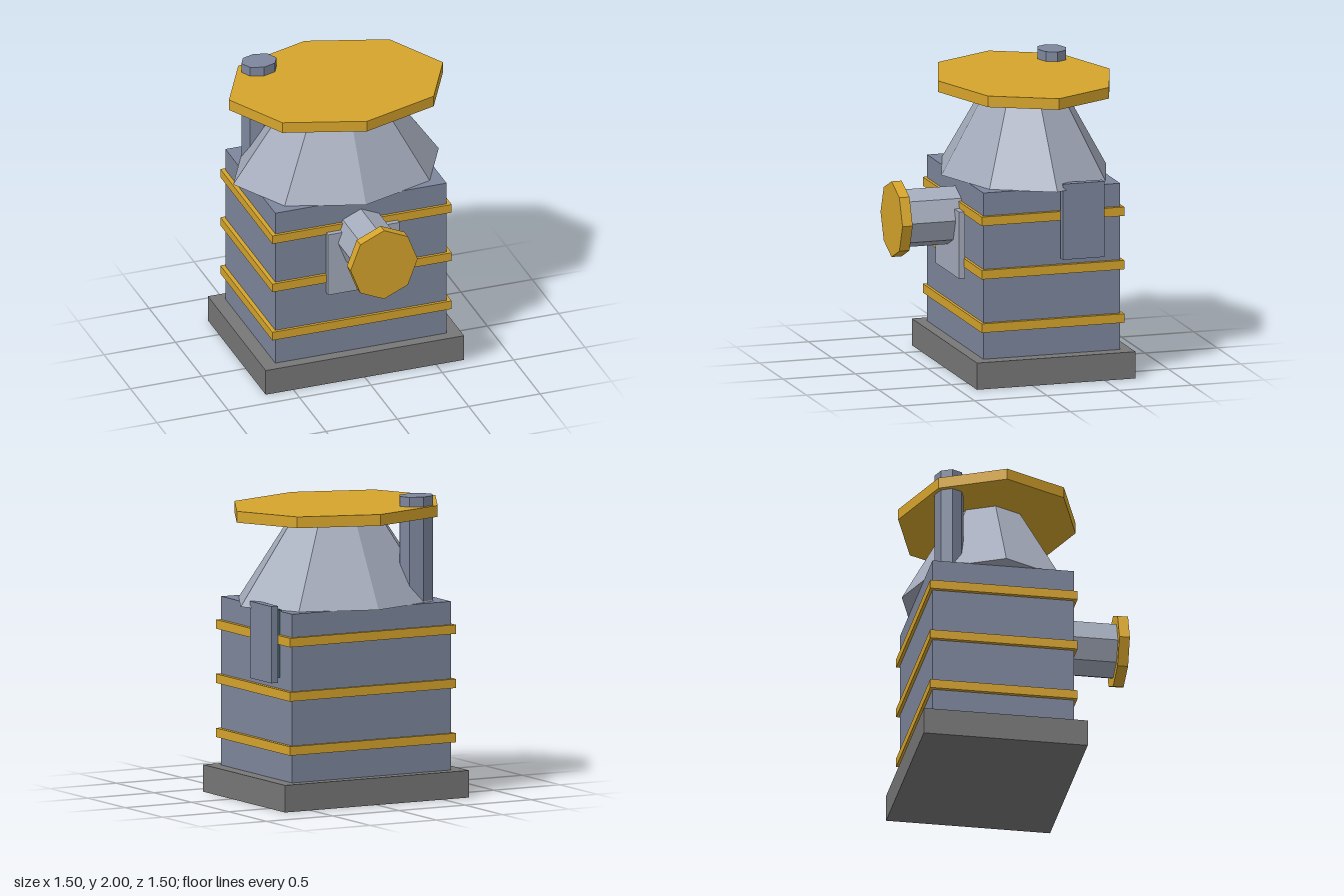
import * as THREE from 'three';

const material = (color) => new THREE.MeshStandardMaterial({ color, flatShading: true });

export function createModel() {
  const model = new THREE.Group();
  const slate = material(0x7d869c);
  const pale = material(0xa4abbb);
  const gold = material(0xd6a42c);
  const stone = material(0x777777);
  const teal = material(0x41636a);
  const midZ = -0.163; // centre of the tower; the front port balances it

  const add = (name, geometry, mat) => {
    const mesh = new THREE.Mesh(geometry, mat);
    mesh.name = name;
    model.add(mesh);
    return mesh;
  };

  // Box given by its limits on each axis
  const box = (name, mat, [x0, x1], [y0, y1], [z0, z1]) =>
    add(name, new THREE.BoxGeometry(x1 - x0, y1 - y0, z1 - z0), mat)
      .position.set((x0 + x1) / 2, (y0 + y1) / 2, (z0 + z1) / 2);

  // Upright eight-sided prism or frustum, stretched to an oval plan
  const octagon = (name, mat, x, z, [y0, y1], rx, rz, topScale = 1) => {
    const geometry = new THREE.CylinderGeometry(topScale, 1, y1 - y0, 8);
    geometry.scale(rx, 1, rz);
    add(name, geometry, mat).position.set(x, (y0 + y1) / 2, z);
  };

  // Eight-sided prism pointing forward
  const forwardOctagon = (name, mat, y, [z0, z1], rx, ry) => {
    const geometry = new THREE.CylinderGeometry(1, 1, z1 - z0, 8);
    geometry.rotateX(Math.PI / 2);
    geometry.scale(rx, ry, 1);
    add(name, geometry, mat).position.set(0, y, (z0 + z1) / 2);
  };

  // Tower
  box('base', stone, [-0.695, 0.695], [0, 0.18], [-0.71, 0.385]);
  box('body', slate, [-0.6, 0.6], [0.18, 1.3], [-0.635, 0.31]);
  for (const y of [0.395, 0.755, 1.115]) {
    box('band', gold, [-0.628, 0.628], [y - 0.03, y + 0.03], [-0.655, 0.33]);
  }

  // Roof, cap and chimney
  octagon('roof', pale, 0, midZ, [1.298, 1.87], 0.72, 0.568, 0.44);
  octagon('cap', gold, 0, midZ, [1.86, 1.935], 0.75, 0.592);
  octagon('chimney', slate, -0.418, -0.492, [1.3, 2], 0.123, 0.098);

  // Front port with its backing plate
  box('plateTrim', gold, [-0.2, 0.2], [0.7, 1.05], [0.3, 0.322]);
  box('frontPlate', pale, [-0.25, 0.25], [0.65, 1.1], [0.322, 0.365]);
  forwardOctagon('portPipe', pale, 1.025, [0.3, 0.69], 0.18, 0.195);
  forwardOctagon('portFlange', gold, 1.025, [0.68, 0.75], 0.235, 0.255);

  // Side hatch
  box('hatchSeal', teal, [0.59, 0.63], [0.86, 1.31], [-0.475, -0.24]);
  box('hatch', slate, [0.628, 0.68], [0.83, 1.34], [-0.5, -0.215]);

  return model;
}
